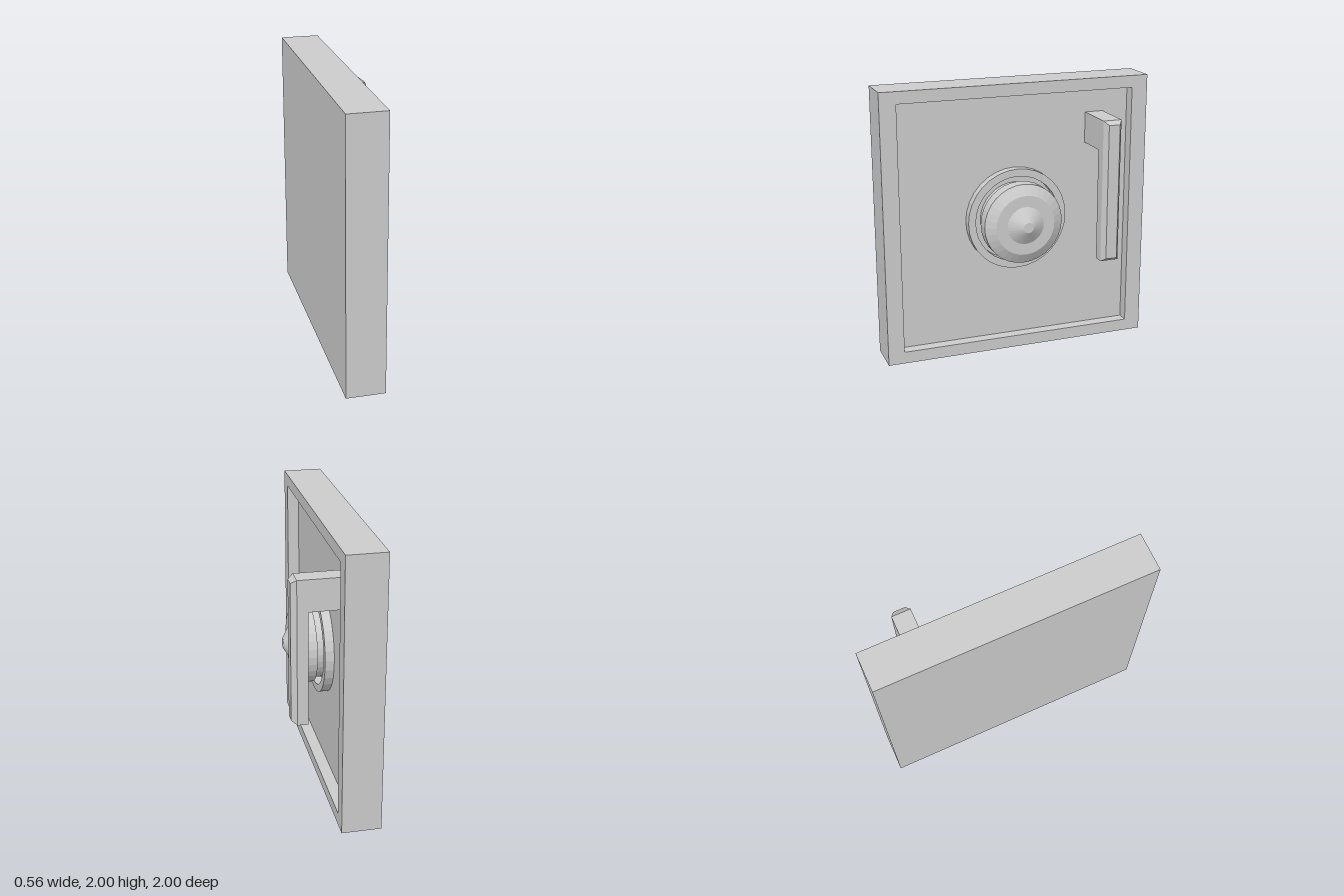
import * as THREE from 'three';

const FRONT = 0;        // x of the rim face
const PANEL = -0.085;   // x of the recessed panel
const BACK = -0.28;

const material = new THREE.MeshStandardMaterial({ color: 0xcccccc, flatShading: true });

function addMesh(parent, name, geometry) {
  const mesh = new THREE.Mesh(geometry, material);
  mesh.name = name;
  parent.add(mesh);
  return mesh;
}

// Turned part whose axis points along +x; profile is [radius, x] pairs.
function turned(profile) {
  const points = profile.map(([r, x]) => new THREE.Vector2(r, x));
  return new THREE.LatheGeometry(points, 32).rotateZ(-Math.PI / 2);
}

function square(Path, half) {
  return new Path([[-1, -1], [1, -1], [1, 1], [-1, 1]]
    .map(([a, b]) => new THREE.Vector2(a * half, b * half)));
}

export function createModel() {
  const model = new THREE.Group();
  model.name = 'safeDoor';

  // Solid door slab, its front is the recessed panel
  addMesh(model, 'doorSlab', new THREE.BoxGeometry(PANEL - BACK, 2, 2))
    .position.set((PANEL + BACK) / 2, 1, 0);

  // Raised rim around the panel
  const rim = square(THREE.Shape, 1);
  rim.holes.push(square(THREE.Path, 0.912));
  const rimGeometry = new THREE.ExtrudeGeometry(rim, { depth: FRONT - PANEL, bevelEnabled: false });
  rimGeometry.rotateY(Math.PI / 2);
  rimGeometry.scale(1, 1, 0.88 / 0.912 * 1.0);
  // Keep the outer edge at full width after fitting the opening
  const rp = rimGeometry.attributes.position;
  for (let i = 0; i < rp.count; i++) {
    if (Math.abs(rp.getY(i)) > 0.95) rp.setZ(i, Math.sign(rp.getZ(i)));
  }
  rimGeometry.computeVertexNormals();
  addMesh(model, 'doorRim', rimGeometry).position.set(PANEL, 1, 0);

  // Combination dial: collar ring, neck and knob
  const dial = new THREE.Group();
  dial.name = 'dial';
  dial.position.y = 1;
  model.add(dial);
  addMesh(dial, 'dialCollar', turned([
    [0.375, PANEL], [0.375, -0.02], [0.32, -0.02], [0.32, PANEL],
  ]));
  addMesh(dial, 'dialNeck', turned([[0.265, PANEL], [0.265, 0.015]]));
  addMesh(dial, 'dialKnob', turned([
    [0, 0.015], [0.295, 0.015], [0.295, 0.105], [0.22, 0.148],
    [0.138, 0.148], [0.038, 0.21], [0, 0.21],
  ]));

  // Handle: short arm out of the panel and a long hanging grip
  const handle = new THREE.Group();
  handle.name = 'handle';
  handle.position.z = -0.617;
  model.add(handle);
  const top = 1.738, bottom = 0.692, width = 0.138;
  const profile = new THREE.Shape([
    [PANEL, 1.512], [0.163, 1.512], [0.163, bottom],
    [0.24, bottom], [0.24, top], [PANEL, top],
  ].map(([x, y]) => new THREE.Vector2(x, y)));
  addMesh(handle, 'handleBody', new THREE.ExtrudeGeometry(profile, { depth: width, bevelEnabled: false }))
    .position.z = -width / 2;

  // Chamfered front of the grip: a box with its front face drawn in
  const cap = new THREE.BoxGeometry(0.038, top - bottom, width);
  const cp = cap.attributes.position;
  for (let i = 0; i < cp.count; i++) {
    if (cp.getX(i) > 0) {
      cp.setY(i, cp.getY(i) - Math.sign(cp.getY(i)) * 0.027);
      cp.setZ(i, cp.getZ(i) - Math.sign(cp.getZ(i)) * 0.027);
    }
  }
  cap.computeVertexNormals();
  addMesh(handle, 'handleChamfer', cap).position.set(0.259, (top + bottom) / 2, 0);

  return model;
}
